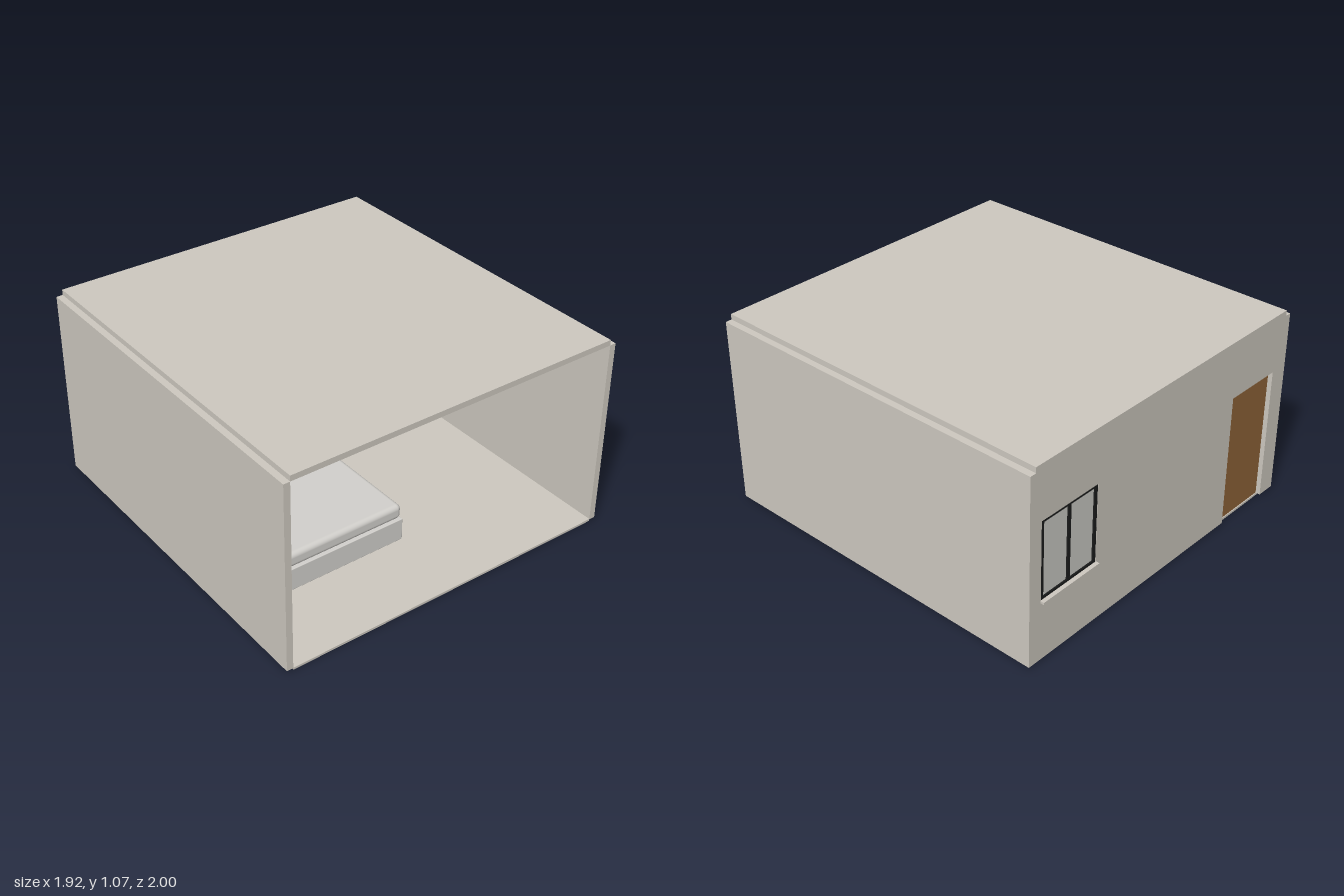
import * as THREE from 'three';
import { RoundedBoxGeometry } from 'three/addons/geometries/RoundedBoxGeometry.js';

const mat = (name, color) => {
  const m = new THREE.MeshStandardMaterial({ color });
  m.name = name;
  return m;
};

export function createModel() {
  const root = new THREE.Group();
  root.name = 'bedroom';
  const wall = mat('plaster', 0xcdc8bf);
  const linen = mat('linen', 0xd2d0cc);
  const green = mat('sageGreen', 0x7a9f93);
  const brown = mat('walnut', 0x6d4023);
  const dark = mat('darkWood', 0x38271a);
  const oak = mat('oak', 0x8f6439);
  const tan = mat('beigeFabric', 0xb9a78e);
  const black = mat('blackMetal', 0x1a1b1b);
  const glass = mat('glass', 0xcacac4);

  const group = (name) => {
    const g = new THREE.Group();
    g.name = name;
    root.add(g);
    return g;
  };
  // Box given by its extents, with optional rounded edges
  const box = (parent, name, m, x0, x1, y0, y1, z0, z1, r = 0) => {
    const w = x1 - x0, h = y1 - y0, d = z1 - z0;
    const geo = r ? new RoundedBoxGeometry(w, h, d, 4, r) : new THREE.BoxGeometry(w, h, d);
    const mesh = new THREE.Mesh(geo, m);
    mesh.name = name;
    mesh.position.set((x0 + x1) / 2, (y0 + y1) / 2, (z0 + z1) / 2);
    parent.add(mesh);
    return mesh;
  };

  // Room shell, open at the front
  const room = group('room');
  box(room, 'floor', wall, -0.925, 0.925, 0, 0.012, -0.96, 1);
  box(room, 'roof', wall, -0.925, 0.925, 1.04, 1.07, -0.98, 1);
  for (const s of [-1, 1]) {
    box(room, s > 0 ? 'leftWall' : 'rightWall', wall,
      s > 0 ? 0.925 : -0.96, s > 0 ? 0.96 : -0.925, 0.01, 1.04, -0.98, 1);
  }

  // Back wall with door and window openings
  const rect = (C, x0, x1, y0, y1) => new C([
    new THREE.Vector2(x0, y0), new THREE.Vector2(x1, y0),
    new THREE.Vector2(x1, y1), new THREE.Vector2(x0, y1)]);
  const outline = new THREE.Shape([
    [-0.925, 0.01], [-0.855, 0.01], [-0.855, 0.75], [-0.515, 0.75], [-0.515, 0.01],
    [0.925, 0.01], [0.925, 1.04], [-0.925, 1.04]].map(([x, y]) => new THREE.Vector2(x, y)));
  outline.holes.push(rect(THREE.Path, 0.51, 0.885, 0.345, 0.775));
  const backWall = new THREE.Mesh(
    new THREE.ExtrudeGeometry(outline, { depth: 0.04, bevelEnabled: false }), wall);
  backWall.name = 'backWall';
  backWall.position.z = -0.98;
  room.add(backWall);
  box(room, 'skirtingRight', tan, -0.925, -0.857, 0.01, 0.04, -0.94, -0.932);
  box(room, 'skirtingLeft', tan, 0.42, 0.925, 0.01, 0.04, -0.94, -0.932);

  // Door
  const door = group('door');
  box(door, 'doorLeaf', oak, -0.855, -0.515, 0.008, 0.75, -0.955, -0.94);
  box(door, 'jambRight', oak, -0.857, -0.84, 0.012, 0.752, -0.942, -0.932);
  box(door, 'jambLeft', oak, -0.53, -0.513, 0.012, 0.752, -0.942, -0.932);
  box(door, 'doorHead', oak, -0.84, -0.53, 0.735, 0.752, -0.942, -0.932);
  box(door, 'doorHandle', black, -0.567, -0.533, 0.35, 0.36, -0.926, -0.918);
  box(door, 'handleStem', black, -0.543, -0.535, 0.351, 0.359, -0.94, -0.92);

  // Window with frame, inner grille and sill
  const win = group('window');
  box(win, 'pane', glass, 0.51, 0.885, 0.345, 0.775, -0.97, -0.962);
  for (const x of [0.51, 0.688, 0.867]) {
    box(win, 'frameUpright', black, x, x + 0.018, 0.345, 0.775, -0.978, -0.945);
  }
  for (const y of [0.347, 0.762]) {
    box(win, 'frameRail', black, 0.51, 0.885, y, y + 0.012, -0.978, -0.945);
  }
  for (const x of [0.589, 0.665, 0.74, 0.812]) {
    box(win, 'grilleBar', black, x - 0.002, x + 0.002, 0.35, 0.77, -0.96, -0.952);
  }
  box(win, 'sill', wall, 0.505, 0.887, 0.335, 0.347, -1, -0.935);

  // Folded fabric blind, lower folds stand further out
  const blind = group('blind');
  [[0.725, 0.78], [0.705, 0.735], [0.665, 0.71], [0.595, 0.672], [0.578, 0.6]].forEach(([y0, y1], i) => {
    box(blind, 'blindFold', tan, 0.5, 0.892, y0, y1, -0.938, -0.922 + (i % 4) * 0.004);
  });

  // Wardrobe: carcass, doors, walnut columns and drawers
  const wardrobe = group('wardrobe');
  box(wardrobe, 'carcass', dark, -0.46, 0.422, 0.035, 1, -0.94, -0.852);
  box(wardrobe, 'plinth', green, -0.455, 0.415, 0.012, 0.035, -0.94, -0.86);
  const front = (name, m, x0, x1, y0 = 0.037, y1 = 0.998) =>
    box(wardrobe, name, m, x0, x1, y0, y1, -0.852, -0.84);
  front('outerDoorRight', green, -0.455, -0.308);
  front('columnRight', brown, -0.292, -0.2);
  front('columnStripRight', brown, -0.19, -0.18);
  front('centreDoorRight', green, -0.165, -0.019, 0.175);
  front('centreDoorLeft', green, -0.015, 0.129, 0.175);
  front('columnLeft', brown, 0.129, 0.208);
  front('columnStripLeft', brown, 0.217, 0.228);
  front('columnEdgeLeft', brown, 0.242, 0.271);
  front('outerDoorLeft', green, 0.271, 0.418);
  for (const [y0, y1] of [[0.037, 0.102], [0.108, 0.17]]) {
    front('drawer', brown, -0.165, 0.127, y0, y1);
  }
  for (const x of [-0.325, -0.178, -0.032, -0.005, 0.137, 0.283]) {
    box(wardrobe, 'wardrobeHandle', dark, x - 0.003, x + 0.003, 0.37, 0.57, -0.832, -0.826);
    for (const y of [0.39, 0.545]) {
      box(wardrobe, 'handlePost', dark, x - 0.002, x + 0.002, y, y + 0.006, -0.84, -0.828);
    }
  }

  // Bed with folded cover at the head
  const bed = group('bed');
  box(bed, 'bedBase', linen, -0.7, 0.053, 0.012, 0.138, -0.15, 0.56, 0.004);
  box(bed, 'mattress', linen, -0.695, 0.05, 0.14, 0.222, -0.15, 0.555, 0.026);
  box(bed, 'beigeFold', tan, -0.694, 0.049, 0.212, 0.227, -0.15, 0.0, 0.004);
  box(bed, 'greenCover', green, -0.694, 0.05, 0.214, 0.236, -0.15, -0.035, 0.005);
  return root;
}
